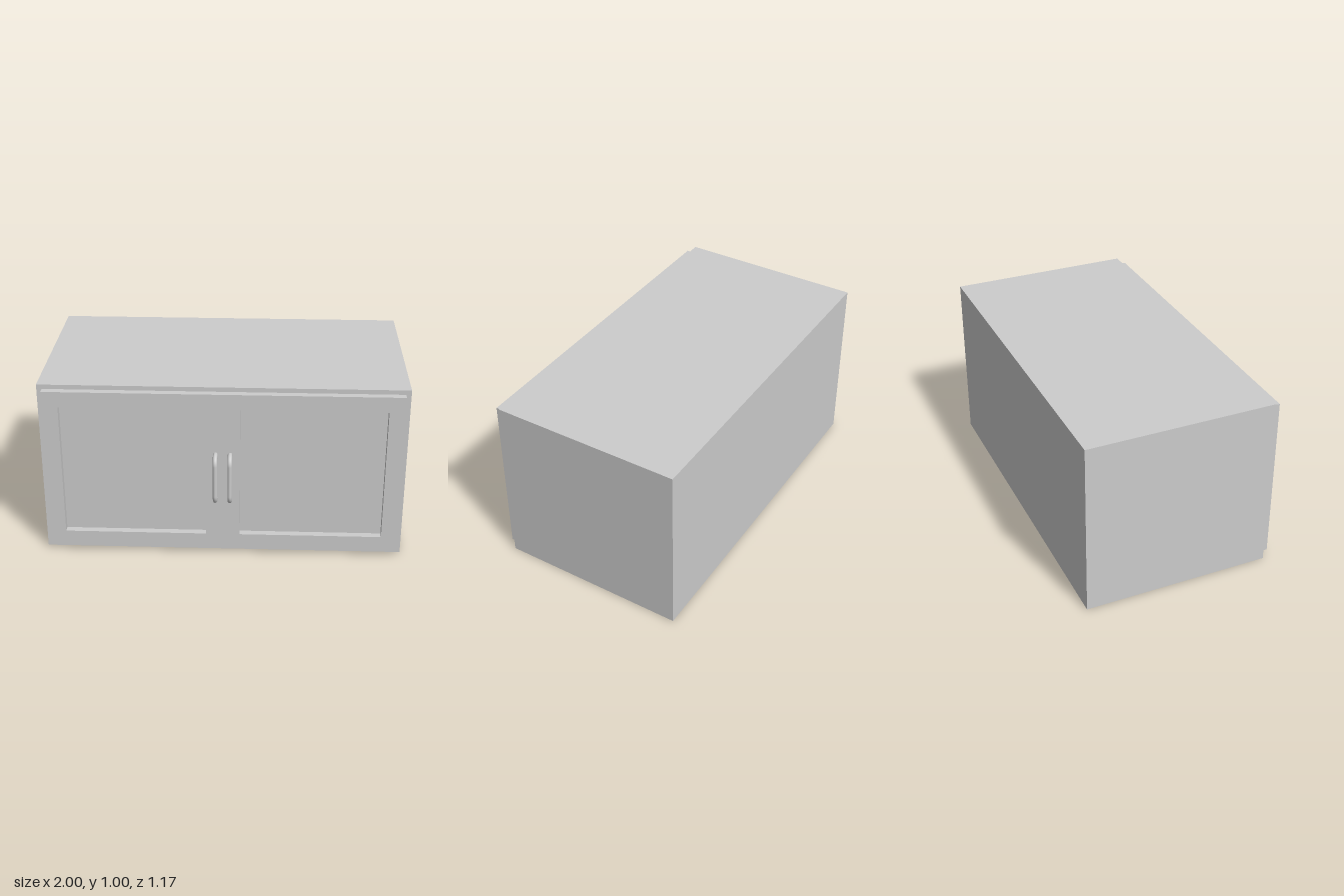
import * as THREE from 'three';

const material = new THREE.MeshStandardMaterial({ color: 0xcccccc });

function part(name, geometry, parent) {
  const mesh = new THREE.Mesh(geometry, material);
  mesh.name = name;
  parent.add(mesh);
  return mesh;
}

// Rectangle outline, usable as a shape or as a hole
function rect(path, x0, y0, x1, y1) {
  path.moveTo(x0, y0);
  path.lineTo(x1, y0);
  path.lineTo(x1, y1);
  path.lineTo(x0, y1);
  path.closePath();
  return path;
}

// Bow handle: two short arms joined by a bar, with rounded bends
function handlePath(x) {
  const back = 0.505, front = 0.572, low = 0.347, high = 0.62, r = 0.045;
  const p = (y, z) => new THREE.Vector3(x, y, z);
  const bend = (a, corner, b) => {
    const k = 0.5523;
    return new THREE.CubicBezierCurve3(a, a.clone().lerp(corner, k), b.clone().lerp(corner, k), b);
  };
  const path = new THREE.CurvePath();
  path.add(new THREE.LineCurve3(p(low, back), p(low, front - r)));
  path.add(bend(p(low, front - r), p(low, front), p(low + r, front)));
  path.add(new THREE.LineCurve3(p(low + r, front), p(high - r, front)));
  path.add(bend(p(high - r, front), p(high, front), p(high, front - r)));
  path.add(new THREE.LineCurve3(p(high, front - r), p(high, back)));
  return path;
}

export function createModel() {
  const cabinet = new THREE.Group();
  cabinet.name = 'cabinet';

  // Carcass
  const bodyFront = 0.475, bodyBack = -0.585;
  const body = part('body', new THREE.BoxGeometry(2, 1, bodyFront - bodyBack), cabinet);
  body.position.set(0, 0.5, (bodyFront + bodyBack) / 2);

  // Front frame with a recessed panel opening on each side
  const frame = rect(new THREE.Shape(), -0.971, 0.028, 0.971, 0.975);
  for (const s of [-1, 1]) {
    frame.holes.push(rect(new THREE.Path(), s * 0.094, 0.12, s * 0.885, 0.885));
  }
  const frameGeometry = new THREE.ExtrudeGeometry(frame, { depth: 0.04, bevelEnabled: false });
  part('doorFrame', frameGeometry, cabinet).position.z = bodyFront;

  // Pair of handles beside the centre line
  for (const [name, x] of [['leftHandle', 0.04], ['rightHandle', -0.04]]) {
    part(name, new THREE.TubeGeometry(handlePath(x), 64, 0.0125, 16, false), cabinet);
  }

  return cabinet;
}
